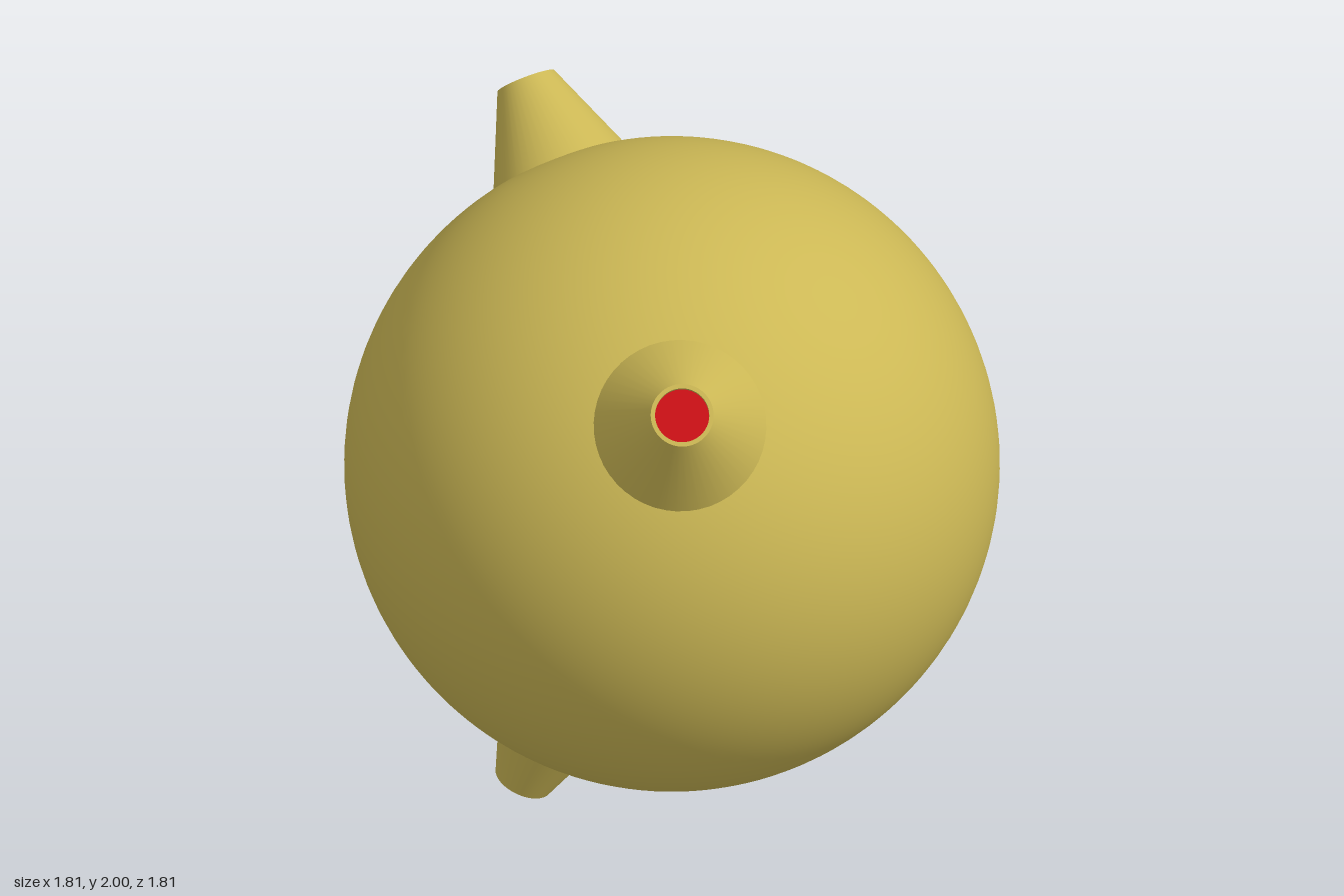
import * as THREE from 'three';

const RADIUS = 0.904;
const CENTER = new THREE.Vector3(0, 1.096, 0);

const shellMat = new THREE.MeshStandardMaterial({ color: 0xccb855 });
const nozzleMat = new THREE.MeshStandardMaterial({ color: 0xccb855, side: THREE.DoubleSide });
const redMat = new THREE.MeshStandardMaterial({ color: 0xcc1016 });

// Tapered tube standing radially on the ball: tip position, tip radius, radius where it meets the ball
function makeNozzle(name, tip, tipRadius, baseRadius) {
  const group = new THREE.Group();
  group.name = name;
  const dir = new THREE.Vector3(...tip).sub(CENTER);
  const length = dir.length();
  dir.normalize();
  group.position.copy(CENTER);
  group.quaternion.setFromUnitVectors(new THREE.Vector3(0, 1, 0), dir);

  // Continue the taper a little below the ball surface
  const meet = Math.sqrt(RADIUS ** 2 - baseRadius ** 2);
  const slope = (baseRadius - tipRadius) / (length - meet);
  const sunk = 0.03;
  const bore = tipRadius * 0.86;
  const depth = 0.022;

  const addPart = (partName, geometry, material) => {
    const mesh = new THREE.Mesh(geometry, material);
    mesh.name = partName;
    group.add(mesh);
    return mesh;
  };
  const lathe = (points) =>
    new THREE.LatheGeometry(points.map(([r, y]) => new THREE.Vector2(r, y)), 48);

  addPart('nozzleWall', lathe([[baseRadius + slope * sunk, meet - sunk], [tipRadius, length]]), nozzleMat);
  addPart('nozzleRim', lathe([[tipRadius, length], [bore, length]]), nozzleMat);
  addPart('nozzleBore', lathe([[bore, length], [bore, length - depth]]), nozzleMat);

  // Red disc closing the bore
  const disc = addPart('nozzleDisc', new THREE.CircleGeometry(bore, 48), redMat);
  disc.rotation.x = -Math.PI / 2;
  disc.position.y = length - depth;
  return group;
}

export function createModel() {
  const model = new THREE.Group();
  model.name = 'ballWithNozzles';

  const ball = new THREE.Mesh(new THREE.SphereGeometry(RADIUS, 96, 64), shellMat);
  ball.name = 'ball';
  ball.position.copy(CENTER);
  model.add(ball);

  model.add(
    makeNozzle('frontNozzle', [-0.16, 1.862, 0.785], 0.087, 0.238),
    makeNozzle('backNozzle', [-0.215, 1.85, -0.828], 0.084, 0.193),
    makeNozzle('bottomNozzle', [-0.405, 0.03, -0.07], 0.082, 0.165)
  );
  return model;
}
